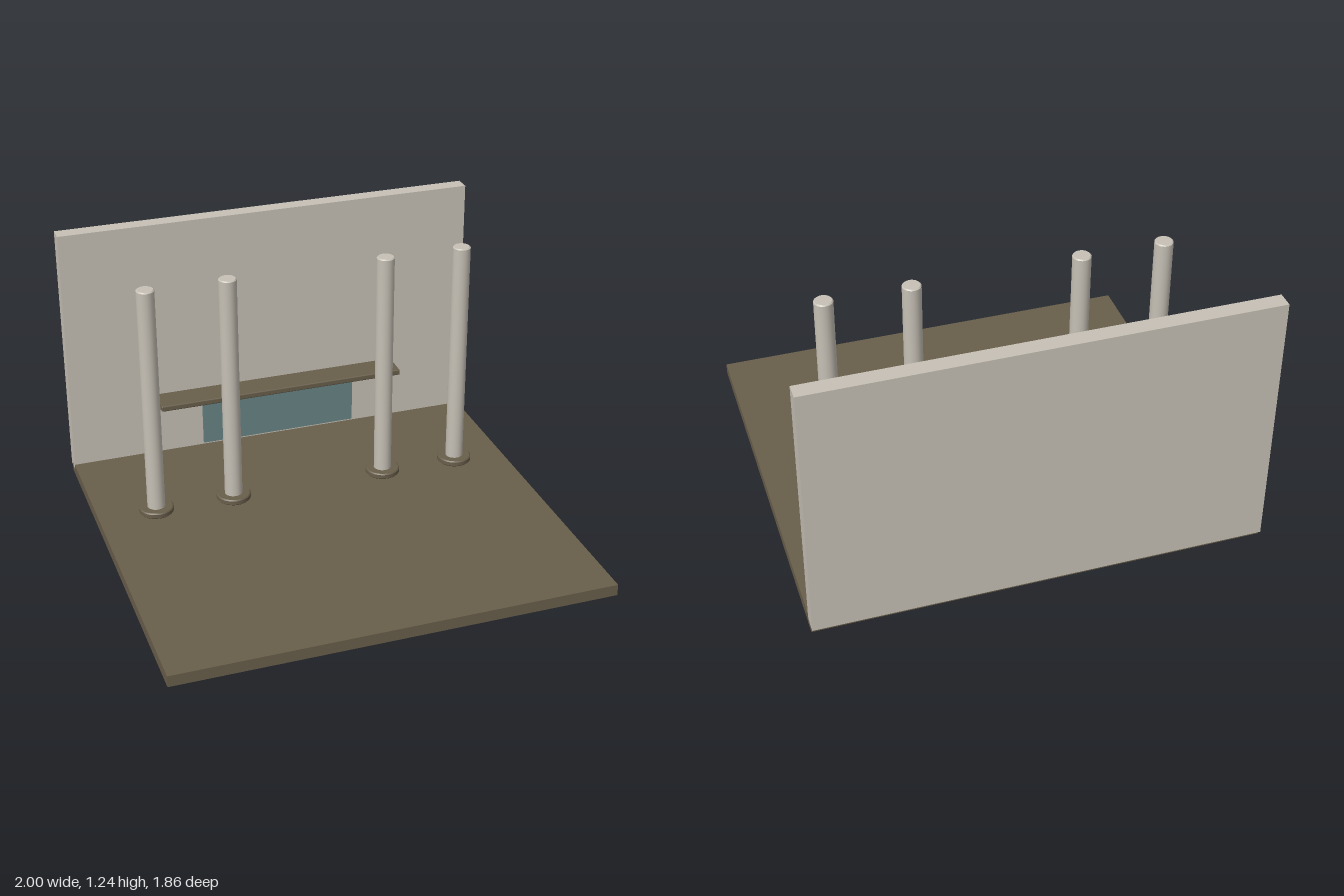
import * as THREE from 'three';
import { RoundedBoxGeometry } from 'three/addons/geometries/RoundedBoxGeometry.js';
import { toCreasedNormals } from 'three/addons/utils/BufferGeometryUtils.js';

const mat = (name, color) => {
  const m = new THREE.MeshStandardMaterial({ color });
  m.name = name;
  return m;
};

export function createModel() {
  const stone = mat('pale stone', 0xc6c0b5);
  const bronze = mat('dark bronze', 0x695e4b);
  const glass = mat('grey teal', 0x688484);
  const model = new THREE.Group();
  model.name = 'colonnade';

  const add = (name, geometry, material, x, y, z, parent = model) => {
    const mesh = new THREE.Mesh(geometry, material);
    mesh.name = name;
    mesh.position.set(x, y, z);
    parent.add(mesh);
    return mesh;
  };

  // box from its lower and upper corners
  const box = (name, material, [x0, y0, z0], [x1, y1, z1], radius = 0) => {
    const size = [x1 - x0, y1 - y0, z1 - z0];
    const geometry = radius ? new RoundedBoxGeometry(...size, 2, radius) : new THREE.BoxGeometry(...size);
    return add(name, geometry, material, (x0 + x1) / 2, (y0 + y1) / 2, (z0 + z1) / 2);
  };

  // turned solid with small chamfers at both ends
  const turned = (radius, y0, y1, chamfer) => toCreasedNormals(new THREE.LatheGeometry([
    [0, y0], [radius - chamfer, y0], [radius, y0 + chamfer],
    [radius, y1 - chamfer], [radius - chamfer, y1], [0, y1],
  ].map(([x, y]) => new THREE.Vector2(x, y)), 24), 0.6);

  // floor slab and back wall
  box('floor', bronze, [-1, 0, -0.91], [1, 0.053, 0.932]);
  box('backWall', stone, [-1, 0.028, -0.932], [1, 1.238, -0.859]);

  // shelf with the panel hung below it
  box('shelf', bronze, [-0.602, 0.371, -0.8], [0.602, 0.399, -0.661], 0.006);
  box('panel', glass, [-0.38, 0.125, -0.758], [0.38, 0.356, -0.742]);

  // four columns, each with a collar near its foot
  const shaft = turned(0.041, 0.053, 1.186, 0.005);
  const collar = turned(0.08, 0.077, 0.105, 0.005);
  for (const x of [-0.738, -0.369, 0.369, 0.738]) {
    const column = new THREE.Group();
    column.name = 'column';
    column.position.set(x, 0, -0.278);
    add('shaft', shaft, stone, 0, 0, 0, column);
    add('collar', collar, bronze, 0, 0, 0, column);
    model.add(column);
  }
  return model;
}
